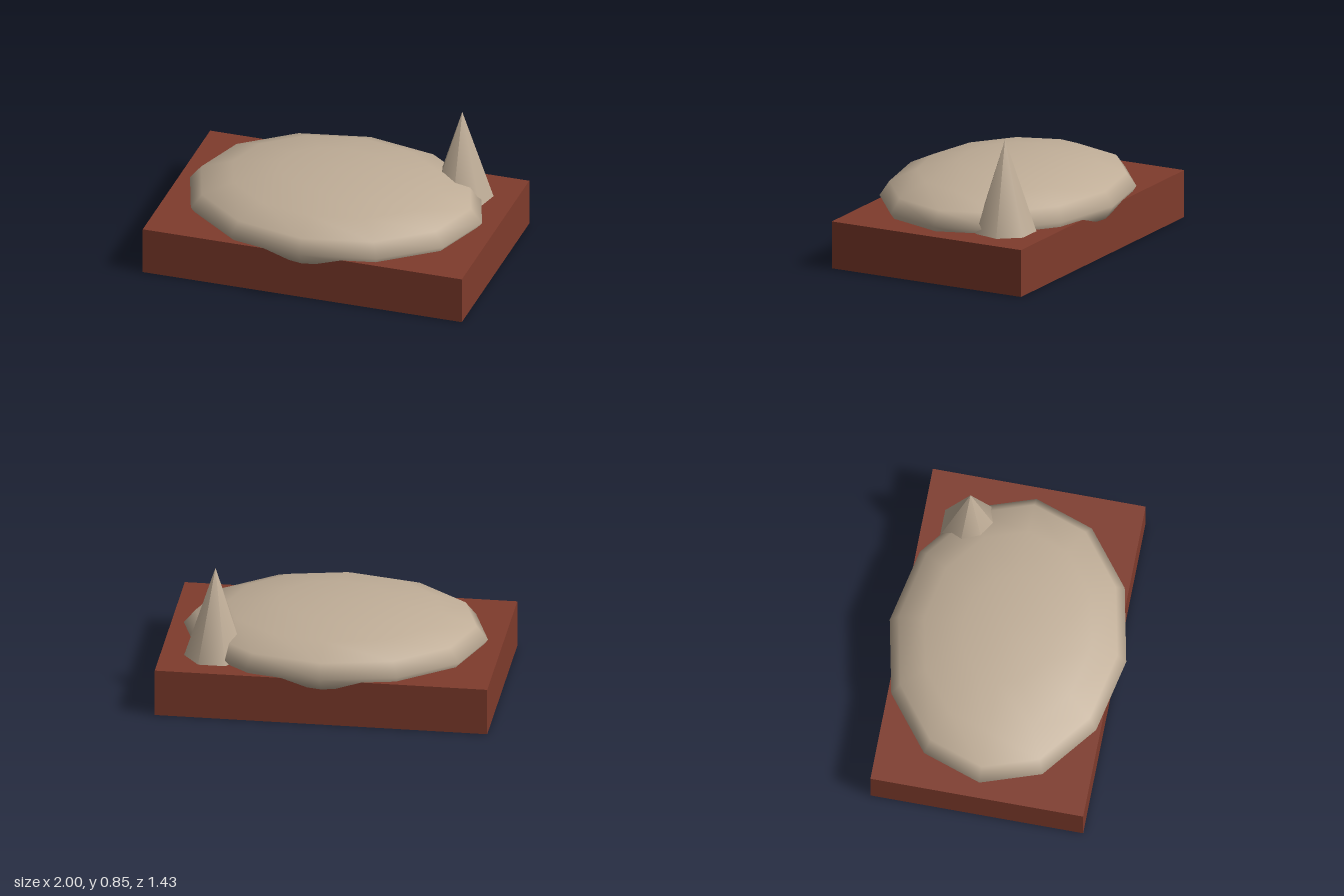
import * as THREE from 'three';

export function createModel() {
  const model = new THREE.Group();
  const brown = new THREE.MeshStandardMaterial({ color: 0x7f3b2c });
  const tan = new THREE.MeshStandardMaterial({ color: 0xbfad97 });

  const add = (name, geometry, material, x, y, z) => {
    const mesh = new THREE.Mesh(geometry, material);
    mesh.name = name;
    mesh.position.set(x, y, z);
    model.add(mesh);
    return mesh;
  };

  // Rectangular slab standing on the ground
  add('base', new THREE.BoxGeometry(2, 0.29, 1.29), brown, 0, 0.145, 0);

  // Flattened low-poly mound sunk into the slab, overhanging front and back
  const mound = add('mound', new THREE.SphereGeometry(1, 12, 8), tan, 0, 0.323, 0);
  mound.scale.set(0.915, 0.222, 0.717);

  // Seven-sided spike at the back left corner, its foot buried in the slab
  const height = 0.64;
  add('spike', new THREE.ConeGeometry(height * 0.333, height, 7), tan, 0.675, 0.853 - height / 2, -0.355);

  return model;
}
